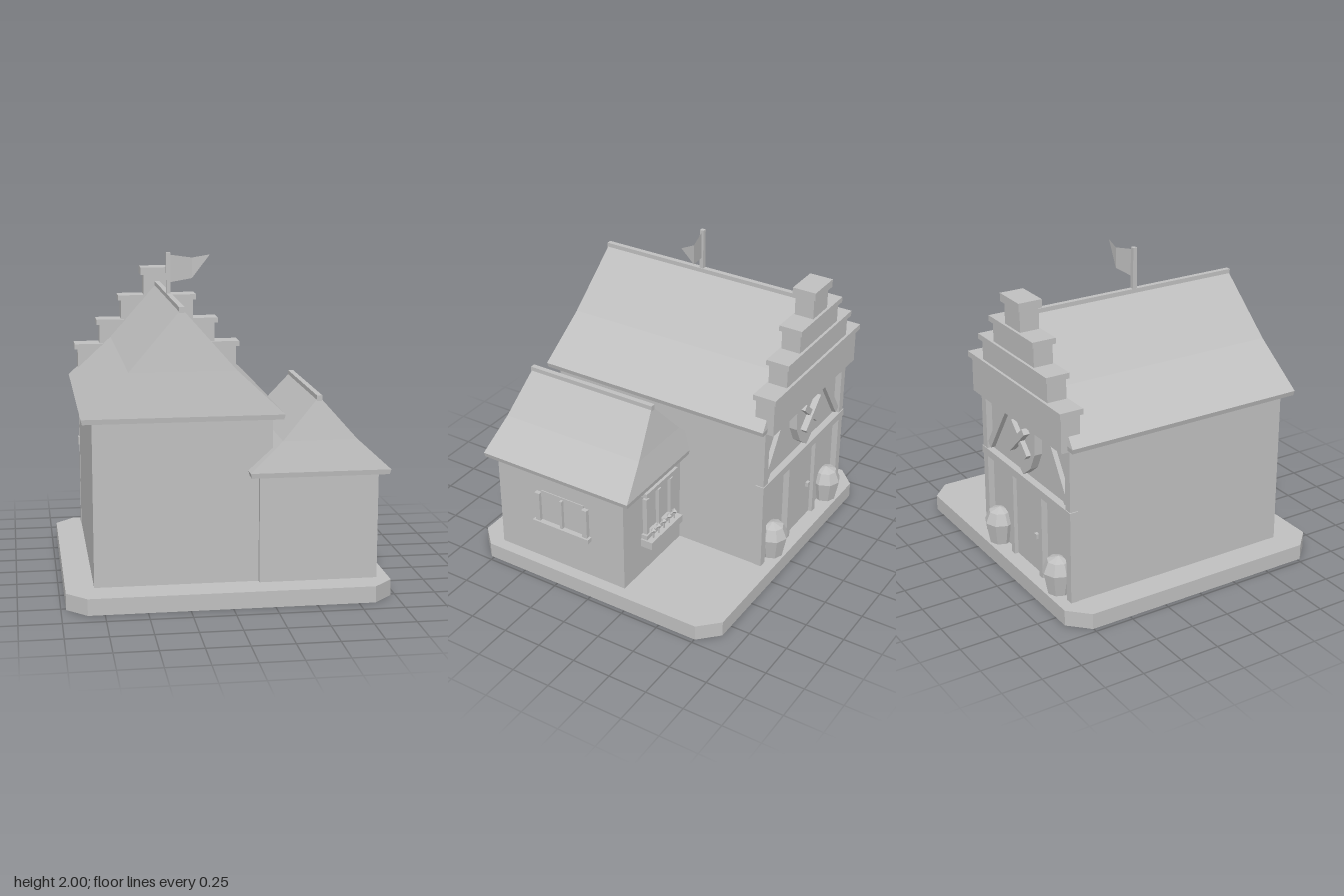
import * as THREE from 'three';

const stone = new THREE.MeshStandardMaterial({ color: 0xc0c0c0, flatShading: true, side: THREE.DoubleSide });
stone.name = 'plain grey';

export function createModel() {
  const model = new THREE.Group();
  model.name = 'steppedGableHouse';

  const add = (name, geometry, parent = model) => {
    const mesh = new THREE.Mesh(geometry, stone);
    mesh.name = name;
    parent.add(mesh);
    return mesh;
  };
  // Box given by its extents on each axis
  const box = (name, x0, x1, y0, y1, z0, z1, parent) => {
    const mesh = add(name, new THREE.BoxGeometry(x1 - x0, y1 - y0, z1 - z0), parent);
    mesh.position.set((x0 + x1) / 2, (y0 + y1) / 2, (z0 + z1) / 2);
    return mesh;
  };
  const group = (name) => {
    const g = new THREE.Group();
    g.name = name;
    model.add(g);
    return g;
  };
  // Bar running between two points of a wall that faces the back
  const bar = (name, xa, ya, xb, yb, width, z0, z1, parent) => {
    const mesh = add(name, new THREE.BoxGeometry(Math.hypot(xb - xa, yb - ya), width, z1 - z0), parent);
    mesh.position.set((xa + xb) / 2, (ya + yb) / 2, (z0 + z1) / 2);
    mesh.rotation.z = Math.atan2(yb - ya, xb - xa);
    return mesh;
  };
  // Loft of rectangular rings [halfX, y, halfZ], closed at the bottom
  const rectLoft = (rings) => {
    const pos = [], index = [];
    rings.forEach(([hx, y, hz]) => pos.push(-hx, y, hz, hx, y, hz, hx, y, -hz, -hx, y, -hz));
    for (let r = 0; r < rings.length - 1; r++) {
      for (let i = 0; i < 4; i++) {
        const a = r * 4 + i, b = r * 4 + (i + 1) % 4;
        index.push(a, b, b + 4, a, b + 4, a + 4);
      }
    }
    index.push(0, 2, 1, 0, 3, 2);
    const g = new THREE.BufferGeometry();
    g.setAttribute('position', new THREE.Float32BufferAttribute(pos, 3));
    g.setIndex(index);
    const flat = g.toNonIndexed();
    flat.computeVertexNormals();
    return flat;
  };
  // Steep bell-cast roof with a slim fascia and a ridge cap
  const roof = (name, x, z, hx, hz, eave, ridge) => {
    const rise = ridge - eave;
    const g = group(name);
    g.position.set(x, 0, z);
    add('roofSlopes', rectLoft([
      [hx - 0.008, eave - 0.03, hz - 0.004], [hx, eave, hz],
      [hx * 0.53, eave + rise * 0.43, hz - 0.043], [0.012, ridge, hz - 0.09],
    ]), g);
    box('ridgeCap', -0.016, 0.016, ridge - 0.012, ridge + 0.022, 0.085 - hz, hz - 0.085, g);
  };

  // Base slab with cut corners, open underneath
  const X = 0.97, Zb = -0.873, Zf = 0.89, c = 0.12;
  const outline = [[-X + c, Zf], [X - c, Zf], [X, Zf - c], [X, Zb + c],
    [X - c, Zb], [-X + c, Zb], [-X, Zb + c], [-X, Zf - c]];
  const base = group('base');
  const top = add('baseTop', new THREE.ShapeGeometry(
    new THREE.Shape(outline.map(([x, z]) => new THREE.Vector2(x, -z)))), base);
  top.rotation.x = -Math.PI / 2;
  top.position.y = 0.1;
  outline.forEach(([x0, z0], i) => {
    const [x1, z1] = outline[(i + 1) % 8];
    const side = add('baseSide', new THREE.PlaneGeometry(Math.hypot(x1 - x0, z1 - z0), 0.1), base);
    side.position.set((x0 + x1) / 2, 0.05, (z0 + z1) / 2);
    side.rotation.y = Math.atan2(z0 - z1, x1 - x0);
  });

  // Main house and side wing
  box('mainWalls', -0.8, 0.26, 0.1, 1.1, -0.76, 0.69);
  roof('mainRoof', -0.27, -0.035, 0.595, 0.78, 1.12, 1.725);
  box('wingWalls', 0.18, 0.895, 0.1, 0.76, -0.205, 0.72);
  roof('wingRoof', 0.535, 0.2525, 0.42, 0.5275, 0.78, 1.197);

  // Stepped gable: half width, bottom and top of each block, with a coping
  const gable = group('steppedGable');
  [[0.535, 1.08, 1.3, 1.335], [0.388, 1.32, 1.463, 1.497],
    [0.242, 1.48, 1.622, 1.657], [0.09, 1.64, 1.79, 1.84]].forEach(([h, y0, y1, y2]) => {
    box('gableBlock', -0.27 - h, -0.27 + h, y0, y1, -0.853, -0.73, gable);
    box('gableCoping', -0.29 - h, -0.25 + h, y1, y2, -0.87, -0.72, gable);
  });

  // Timber frame of the entrance side
  const timber = group('timberFrame');
  for (const s of [-1, 1]) {
    const at = (d) => -0.27 + s * d;
    box('cornerPost', Math.min(at(0.48), at(0.533)), Math.max(at(0.48), at(0.533)), 0.1, 1.08, -0.8, -0.75, timber);
    box('doorPost', Math.min(at(0.155), at(0.195)), Math.max(at(0.155), at(0.195)), 0.1, 0.65, -0.8, -0.75, timber);
    bar('diagonalBrace', at(0.47), 0.72, at(0.25), 1.06, 0.045, -0.79, -0.75, timber);
  }
  box('crossBeam', -0.81, 0.27, 0.645, 0.695, -0.805, -0.75, timber);

  // Door
  box('door', -0.425, -0.115, 0.1, 0.645, -0.775, -0.75);
  box('doorKnob', -0.39, -0.36, 0.33, 0.36, -0.795, -0.77);

  // Shield sign with crossed bars
  const sign = group('shieldSign');
  const shield = new THREE.Shape();
  shield.moveTo(-0.15, 1.06);
  shield.lineTo(0, 1.075);
  shield.lineTo(0.15, 1.06);
  shield.lineTo(0.145, 0.9);
  shield.lineTo(0.09, 0.79);
  shield.lineTo(0, 0.72);
  shield.lineTo(-0.09, 0.79);
  shield.lineTo(-0.145, 0.9);
  const plate = add('shield', new THREE.ExtrudeGeometry(shield, { depth: 0.05, bevelEnabled: false }), sign);
  plate.position.set(-0.27, 0, -0.81);
  bar('crossedBar', -0.36, 0.87, -0.18, 1.04, 0.04, -0.84, -0.81, sign);
  bar('crossedBar', -0.36, 1.04, -0.18, 0.87, 0.04, -0.855, -0.815, sign);

  // Faceted tubs beside the door
  for (const x of [-0.635, 0.095]) {
    const profile = [[0, 0.1], [0.072, 0.1], [0.1, 0.24], [0.07, 0.31], [0, 0.335]];
    const tub = add('tub', new THREE.LatheGeometry(profile.map(([r, y]) => new THREE.Vector2(r, y)), 8));
    tub.position.set(x, 0, -0.787);
  }

  // Wing side window
  const side = group('sideWindow');
  box('pane', 0.89, 0.901, 0.39, 0.61, 0.08, 0.395, side);
  for (const [z0, z1] of [[0.045, 0.08], [0.228, 0.245], [0.395, 0.43]]) {
    box('windowBar', 0.89, 0.923, 0.39, 0.595, z0, z1, side);
  }
  box('sill', 0.89, 0.935, 0.365, 0.395, 0.03, 0.445, side);

  // Wing back window with planter
  const back = group('backWindow');
  box('pane', 0.4, 0.67, 0.385, 0.64, -0.212, -0.2, back);
  for (const x of [0.4, 0.535, 0.67]) {
    box('windowBar', x - 0.015, x + 0.015, 0.385, 0.64, -0.235, -0.2, back);
  }
  box('sill', 0.37, 0.7, 0.355, 0.387, -0.245, -0.2, back);
  box('lintel', 0.36, 0.71, 0.675, 0.703, -0.253, -0.2, back);
  box('planter', 0.36, 0.71, 0.305, 0.357, -0.287, -0.2, back);
  for (let i = 0; i < 5; i++) {
    const x = 0.415 + i * 0.06;
    box('stem', x - 0.004, x + 0.004, 0.355, 0.41, -0.266, -0.258, back);
    const bloom = add('bloom', new THREE.OctahedronGeometry(0.02), back);
    bloom.position.set(x, 0.412, -0.262);
  }

  // Flag on the ridge, bent along its middle
  box('flagPole', -0.285, -0.258, 1.72, 2, -0.048, -0.022);
  const flag = new THREE.BufferGeometry();
  flag.setAttribute('position', new THREE.Float32BufferAttribute([
    -0.26, 1.985, -0.035, -0.12, 1.963, -0.065, -0.01, 1.983, -0.045,
    -0.12, 1.835, -0.065, -0.26, 1.815, -0.035], 3));
  flag.setIndex([4, 3, 1, 4, 1, 0, 3, 2, 1]);
  flag.computeVertexNormals();
  add('flag', flag);

  return model;
}
